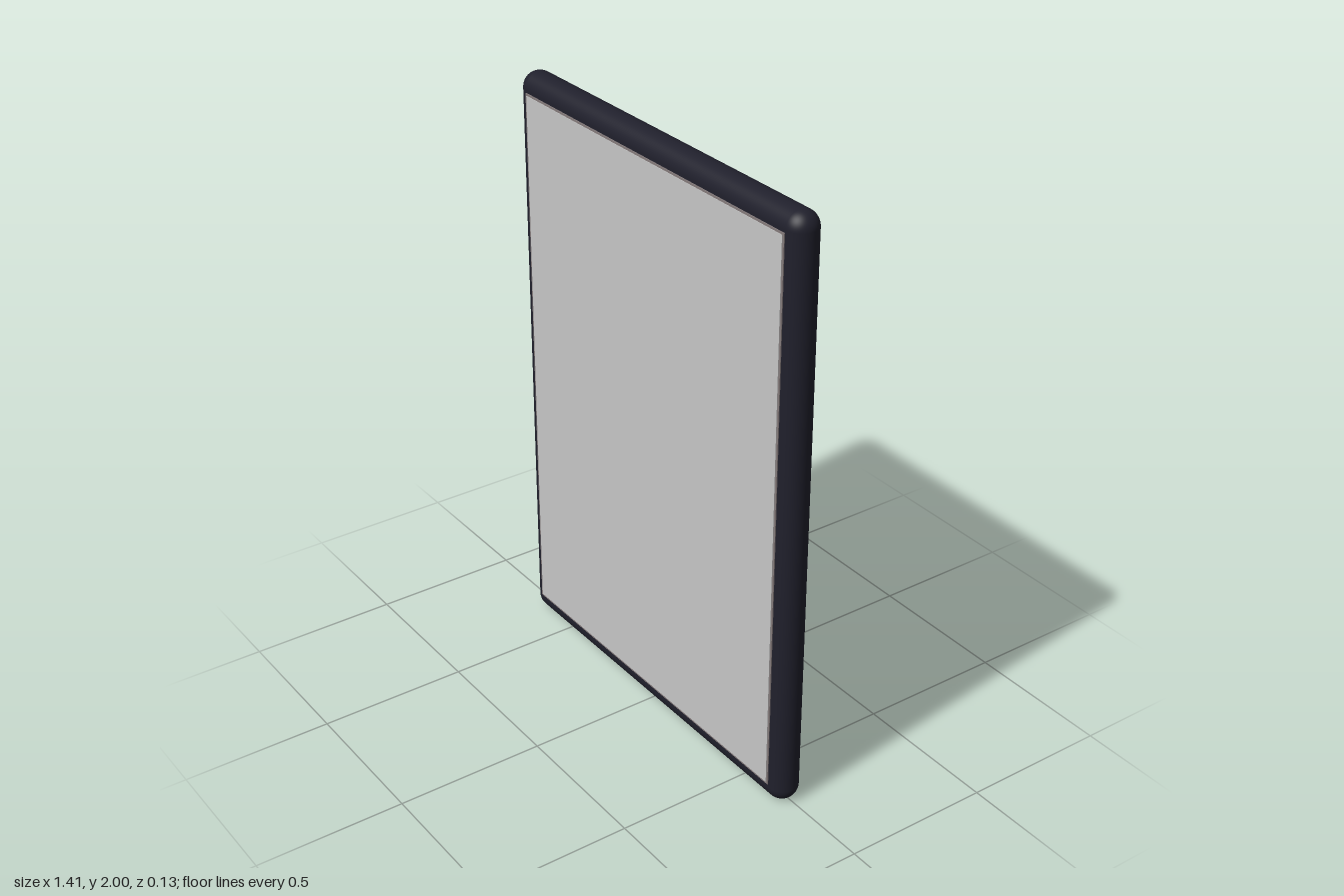
import * as THREE from 'three';
import { RoundedBoxGeometry } from 'three/addons/geometries/RoundedBoxGeometry.js';

export function createModel() {
  const model = new THREE.Group();
  model.name = 'tabletPanel';

  const paint = (name, color) => {
    const m = new THREE.MeshStandardMaterial({ color });
    m.name = name;
    return m;
  };
  const shell = paint('dark navy shell', 0x20202c);
  const screenGrey = paint('screen grey', 0xc6c6c6);
  const rimGrey = paint('screen rim grey', 0x857c7c);
  const metal = paint('pale metal', 0xc0c0bc);

  const add = (name, geometry, material, x, y, z) => {
    const mesh = new THREE.Mesh(geometry, material);
    mesh.name = name;
    mesh.position.set(x, y, z);
    model.add(mesh);
    return mesh;
  };

  // Pill-edged case
  add('case', new RoundedBoxGeometry(1.41, 2, 0.106, 8, 0.0529), shell, 0, 1, 0.007);

  // Screen rim and display plate on the front
  add('screenRim', new THREE.BoxGeometry(1.3, 1.874, 0.006), rimGrey, 0, 1.002, 0.06);
  add('screen', new THREE.BoxGeometry(1.286, 1.86, 0.004), screenGrey, 0, 1.002, 0.0627);

  // Raised panel on the back
  add('backPanel', new RoundedBoxGeometry(1.02, 1.6, 0.03, 3, 0.008), shell, 0, 1.003, -0.046);

  // Four small discs standing just off the back corners
  const disc = new THREE.CylinderGeometry(0.032, 0.032, 0.008, 16).rotateX(Math.PI / 2);
  for (const [side, x] of [['left', 0.51], ['right', -0.51]]) {
    for (const [level, y] of [['Top', 1.867], ['Bottom', 0.143]]) {
      add(`${side}${level}Disc`, disc, metal, x, y, -0.064);
    }
  }

  return model;
}
